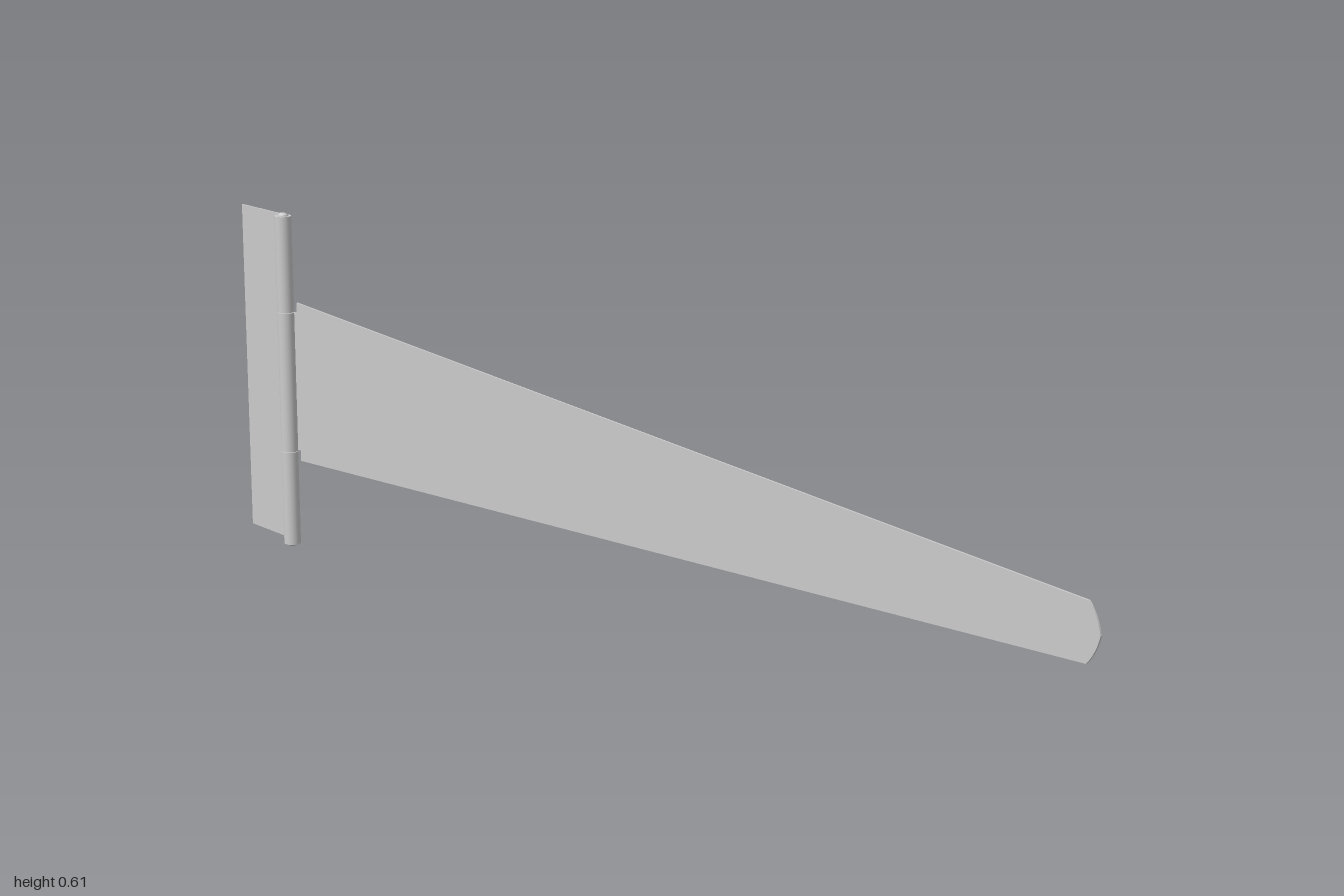
import * as THREE from 'three';

const BARREL_X = -0.853, BARREL_R = 0.015, SHEET = 0.003, BACK = -0.015;
const CENTRE_Y = 0.306;

export function createModel() {
  const hinge = new THREE.Group();
  hinge.name = 'strapHinge';
  const metal = new THREE.MeshStandardMaterial({ color: 0xcccccc });

  const add = (name, geometry, x = 0, y = 0, z = 0) => {
    const mesh = new THREE.Mesh(geometry, metal);
    mesh.name = name;
    mesh.position.set(x, y, z);
    hinge.add(mesh);
    return mesh;
  };
  const sheet = (shape) =>
    new THREE.ExtrudeGeometry(shape, { depth: SHEET, bevelEnabled: false, curveSegments: 6 });
  const outline = (points) => new THREE.Shape(points.map(([x, y]) => new THREE.Vector2(x, y)));

  // Fixed leaf, notched where the strap knuckle turns
  add('fixedLeaf', sheet(outline([
    [-1, 0.007], [BARREL_X, 0.007], [BARREL_X, 0.177], [-0.876, 0.177],
    [-0.876, 0.435], [BARREL_X, 0.435], [BARREL_X, 0.605], [-1, 0.605],
  ])), 0, 0, BACK);

  // Long tapering strap with a rounded tip and a narrower tab at the barrel
  const strap = outline([
    [-0.866, 0.18], [-0.836, 0.18], [-0.836, 0.161], [0.978, 0.262],
  ]);
  strap.quadraticCurveTo(0.994, 0.28, 1, CENTRE_Y);
  strap.quadraticCurveTo(0.994, 0.332, 0.978, 0.35);
  strap.lineTo(-0.836, 0.451);
  strap.lineTo(-0.836, 0.432);
  strap.lineTo(-0.866, 0.432);
  add('strap', sheet(strap), 0, 0, BACK);

  // Barrel knuckles: two on the leaf, one on the strap
  const knuckles = [
    ['lowerKnuckle', 0.006, 0.178],
    ['strapKnuckle', 0.179, 0.433],
    ['upperKnuckle', 0.434, 0.606],
  ];
  for (const [name, low, high] of knuckles) {
    add(name, new THREE.CylinderGeometry(BARREL_R, BARREL_R, high - low, 32),
      BARREL_X, (low + high) / 2);
  }

  // Pin through the barrel with shallow domed ends
  const pinProfile = [
    [0, 0], [0.004, 0.0006], [0.008, 0.003], [0.01, 0.006],
    [0.01, 0.606], [0.008, 0.609], [0.004, 0.6114], [0, 0.612],
  ].map(([r, y]) => new THREE.Vector2(r, y));
  add('pin', new THREE.LatheGeometry(pinProfile, 32), BARREL_X);

  return hinge;
}
